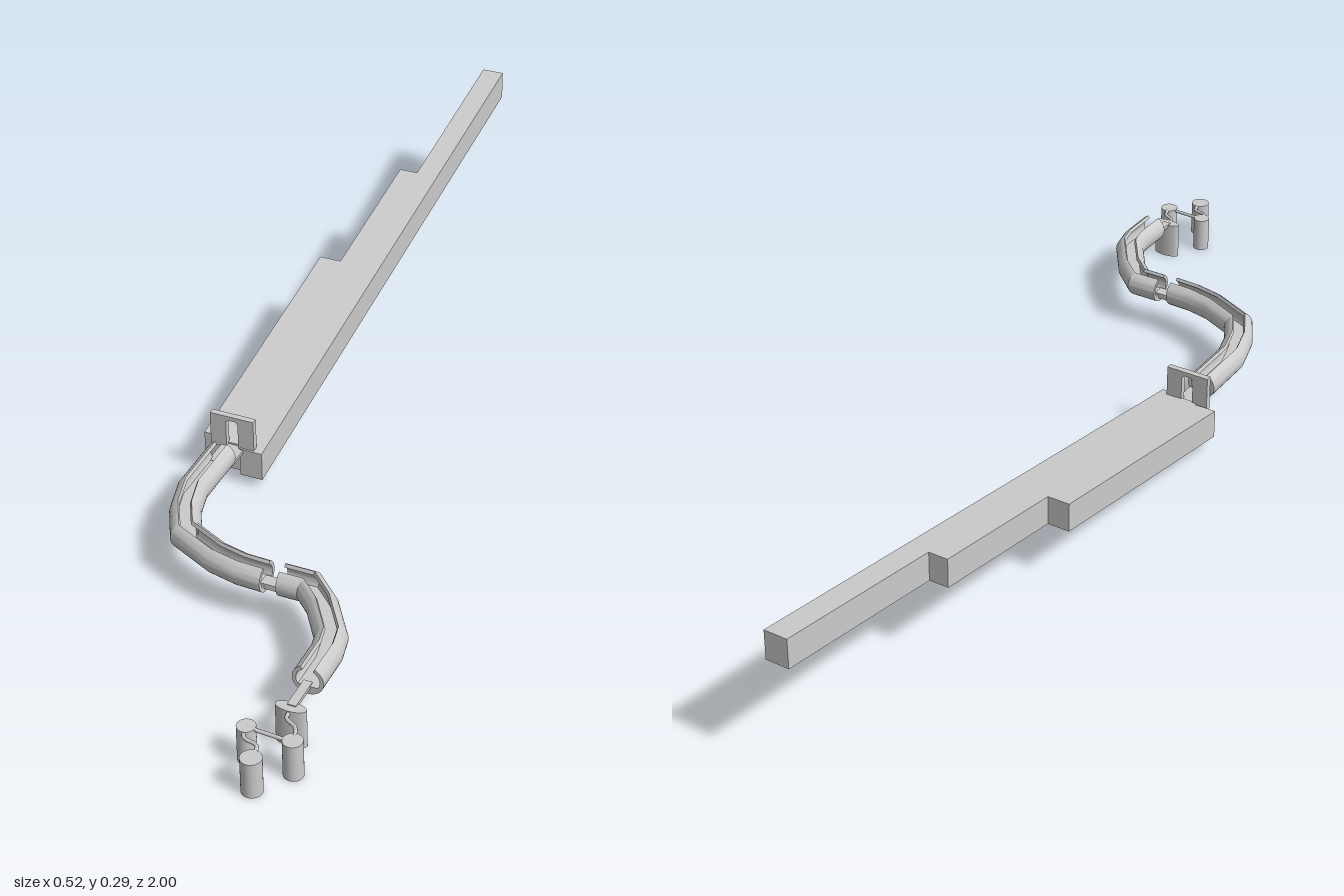
import * as THREE from 'three';
import { toCreasedNormals } from 'three/addons/utils/BufferGeometryUtils.js';

const material = new THREE.MeshStandardMaterial({ color: 0xcccccc });

function add(group, name, geometry, x = 0, y = 0, z = 0) {
  const mesh = new THREE.Mesh(geometry, material);
  mesh.name = name;
  mesh.position.set(x, y, z);
  group.add(mesh);
  return mesh;
}

// Box given by its limits
function block(group, name, x0, x1, y0, y1, z0, z1) {
  return add(group, name, new THREE.BoxGeometry(x1 - x0, y1 - y0, z1 - z0),
    (x0 + x1) / 2, (y0 + y1) / 2, (z0 + z1) / 2);
}

// Beam that rises towards the back, with upright ends
function ramp(group, name, x0, x1, zBack, zFront) {
  const top = (z) => 0.118 - 0.168 * z;
  const s = new THREE.Shape();
  s.moveTo(-zFront, top(zFront) - 0.058);
  s.lineTo(-zBack, top(zBack) - 0.058);
  s.lineTo(-zBack, top(zBack));
  s.lineTo(-zFront, top(zFront));
  const g = new THREE.ExtrudeGeometry(s, { depth: x1 - x0, bevelEnabled: false });
  g.rotateY(Math.PI / 2);
  add(group, name, g, x0, 0, 0);
}

// Channel cross-section: round outside, open top, flat floor inside
function channelSection() {
  const pts = [], R = 0.0285, r = 0.0215, gap = 0.44, n = 28;
  for (let i = 0; i <= n; i++) {
    const a = Math.PI / 2 + gap + (2 * Math.PI - 2 * gap) * i / n;
    pts.push(new THREE.Vector2(R * Math.cos(a), R * Math.sin(a)));
  }
  const start = Math.PI / 2 - gap, end = -0.59;
  for (let i = 0; i <= 6; i++) {
    const a = start + (end - start) * i / 6;
    pts.push(new THREE.Vector2(r * Math.cos(a), r * Math.sin(a)));
  }
  for (let i = 6; i >= 0; i--) {
    const a = start + (end - start) * i / 6;
    pts.push(new THREE.Vector2(-r * Math.cos(a), r * Math.sin(a)));
  }
  return pts;
}

// Sweep the section along a level path of [x, z] points with mitred bends
function channel(group, name, path, y) {
  const section = channelSection(), n = section.length;
  const p = path.map(([x, z]) => new THREE.Vector3(x, y, z));
  const up = new THREE.Vector3(0, 1, 0), pos = [], idx = [];
  const dir = (i) => p[i + 1].clone().sub(p[i]).normalize();
  p.forEach((c, i) => {
    const a = dir(Math.max(i - 1, 0)), b = dir(Math.min(i, p.length - 2));
    const d = a.clone().add(b).normalize();
    const side = d.clone().cross(up).multiplyScalar(1 / d.dot(a));
    for (const q of section) pos.push(c.x + side.x * q.x, c.y + q.y, c.z + side.z * q.x);
  });
  for (let k = 0; k < p.length - 1; k++) {
    for (let i = 0; i < n; i++) {
      const a = k * n + i, b = k * n + (i + 1) % n;
      idx.push(a, a + n, b, b, a + n, b + n);
    }
  }
  const last = (p.length - 1) * n;
  for (const [a, b, c] of THREE.ShapeUtils.triangulateShape(section, [])) {
    idx.push(a, b, c, last + a, last + c, last + b);
  }
  const g = new THREE.BufferGeometry();
  g.setAttribute('position', new THREE.Float32BufferAttribute(pos, 3));
  g.setIndex(idx);
  add(group, name, toCreasedNormals(g, 0.4));
}

// Thin rod through [x, y, z] points
function rod(group, name, points) {
  const curve = new THREE.CatmullRomCurve3(points.map((q) => new THREE.Vector3(...q)));
  add(group, name, new THREE.TubeGeometry(curve, 24, 0.0035, 8));
}

export function createModel() {
  const model = new THREE.Group();
  model.name = 'obstacleCourse';

  // Three stepped ramps side by side
  ramp(model, 'shortRamp', -0.262, -0.218, -0.31, 0.22);
  ramp(model, 'middleRamp', -0.218, -0.18, -0.62, 0.23);
  ramp(model, 'longRamp', -0.18, -0.135, -1, 0.24);

  // Gate with a narrow doorway
  const gate = new THREE.Shape();
  gate.moveTo(-0.24, 0.072);
  gate.lineTo(-0.208, 0.072);
  gate.lineTo(-0.208, 0.128);
  gate.lineTo(-0.204, 0.133);
  gate.lineTo(-0.188, 0.133);
  gate.lineTo(-0.184, 0.128);
  gate.lineTo(-0.184, 0.072);
  gate.lineTo(-0.152, 0.072);
  gate.lineTo(-0.152, 0.142);
  gate.lineTo(-0.24, 0.142);
  add(model, 'gate', new THREE.ExtrudeGeometry(gate, { depth: 0.012, bevelEnabled: false }), 0, 0, 0.225);
  block(model, 'gatePlank', -0.219, -0.173, 0.07, 0.076, 0.22, 0.29);

  // Two winding open channels
  channel(model, 'rearChannel', [[-0.197, 0.28], [-0.196, 0.4], [-0.178, 0.465],
    [-0.147, 0.523], [-0.068, 0.561], [-0.015, 0.573], [0.034, 0.575]], 0.087);
  channel(model, 'frontChannel', [[0.062, 0.572], [0.113, 0.572], [0.155, 0.612],
    [0.203, 0.683], [0.211, 0.72], [0.211, 0.795]], 0.087);

  // Planks bridging the gaps
  block(model, 'channelBridge', 0.026, 0.07, 0.068, 0.079, 0.562, 0.586);
  block(model, 'endPlank', 0.199, 0.215, 0.07, 0.077, 0.785, 0.85);

  // Stepping pillars: x, z, radius, height, depth scale
  const pillars = [
    [0.207, 0.852, 0.028, 0.075, 0.42],
    [0.242, 0.921, 0.0175, 0.072, 1],
    [0.158, 0.917, 0.0165, 0.071, 1],
    [0.197, 0.981, 0.0185, 0.07, 1],
  ];
  for (const [x, z, r, h, depth] of pillars) {
    const g = new THREE.CylinderGeometry(r, r, h, 32).scale(1, 1, depth);
    add(model, 'pillar', g, x, h / 2, z);
  }

  // Bent rods joining the pillar tops
  rod(model, 'firstRod', [[0.207, 0.07, 0.855], [0.21, 0.07, 0.875], [0.232, 0.07, 0.89], [0.242, 0.069, 0.918]]);
  rod(model, 'crossRod', [[0.242, 0.068, 0.921], [0.2, 0.068, 0.919], [0.158, 0.068, 0.917]]);
  rod(model, 'lastRod', [[0.158, 0.067, 0.92], [0.165, 0.067, 0.94], [0.192, 0.067, 0.95], [0.197, 0.066, 0.978]]);

  return model;
}
